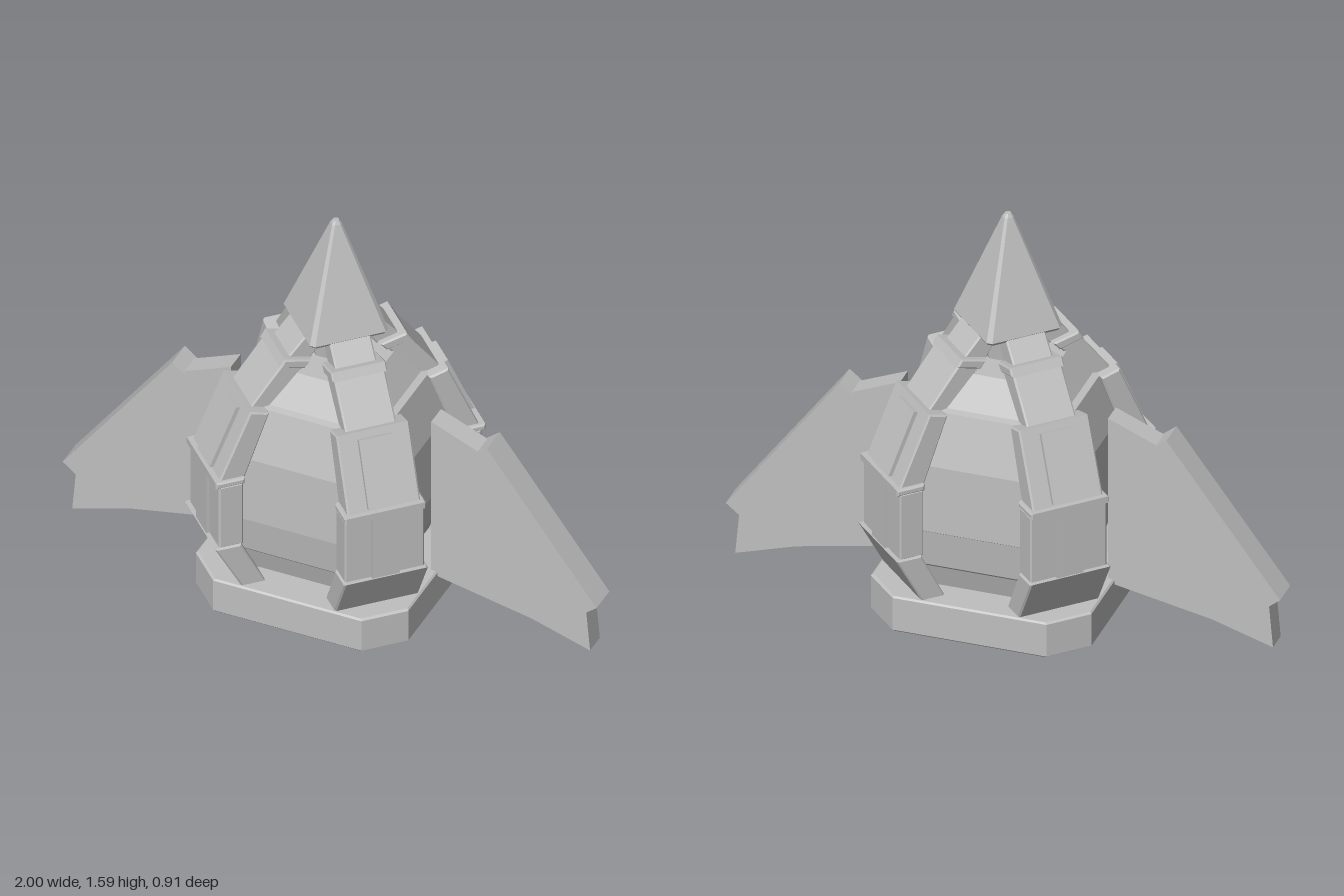
import * as THREE from 'three';

const hull = new THREE.MeshStandardMaterial({ color: 0xbfbfbf });
hull.name = 'hullGrey';

function mesh(geometry, name) {
  const m = new THREE.Mesh(geometry, hull);
  m.name = name;
  return m;
}

// Stack of chamfered squares: each ring is [y, half width, corner chamfer]
function chamferedLoft(rings) {
  const pos = [];
  const index = [];
  for (const [y, h, c] of rings) {
    const k = h - c;
    for (const [x, z] of [[k, h], [h, k], [h, -k], [k, -h], [-k, -h], [-h, -k], [-h, k], [-k, h]]) pos.push(x, y, z);
  }
  const last = (rings.length - 1) * 8;
  for (let r = 0; r < last; r += 8) {
    for (let i = 0; i < 8; i++) {
      const j = (i + 1) % 8;
      index.push(r + i, r + j, r + 8 + j, r + i, r + 8 + j, r + 8 + i);
    }
  }
  for (let i = 1; i < 7; i++) {
    index.push(0, i + 1, i);
    index.push(last, last + i, last + i + 1);
  }
  const g = new THREE.BufferGeometry();
  g.setAttribute('position', new THREE.Float32BufferAttribute(pos, 3));
  g.setIndex(index);
  const flat = g.toNonIndexed();
  flat.computeVertexNormals();
  return flat;
}

// Flat outline extruded to a full width, centred on z, with a small bevel
function plate(points, width, bevel = 0) {
  const shape = new THREE.Shape(points.map(([x, y]) => new THREE.Vector2(x, y)));
  const g = new THREE.ExtrudeGeometry(shape, {
    depth: width - 2 * bevel, bevelEnabled: bevel > 0,
    bevelSize: bevel, bevelThickness: bevel, bevelOffset: -bevel, bevelSegments: 1,
  });
  g.translate(0, 0, -width / 2 + bevel);
  return g;
}

// Base plate with bevelled rims
function step(y0, y1, h, c, b) {
  return chamferedLoft([[y0, h - b, c], [y0 + b, h, c], [y1 - b, h, c], [y1, h - b, c]]);
}

// One armoured rib: x is the distance from the axis
function makeRib() {
  const rib = new THREE.Group();
  const parts = [
    ['ribFoot', [[0.31, 0.235], [0.398, 0.235], [0.495, 0.415], [0.40, 0.415]], 0.305],
    ['ribMiddle', [[0.39, 0.41], [0.478, 0.41], [0.478, 0.67], [0.39, 0.67]], 0.29],
    ['ribBand', [[0.385, 0.665], [0.49, 0.665], [0.49, 0.69], [0.385, 0.69]], 0.295],
    ['ribShoulder', [[0.38, 0.68], [0.475, 0.68], [0.36, 0.95], [0.29, 0.93]], 0.265],
    ['ribNeck', [[0.30, 0.90], [0.375, 0.90], [0.22, 1.105], [0.15, 1.065]], 0.185],
    ['ribCollar', [[0.15, 1.06], [0.24, 1.085], [0.222, 1.115], [0.125, 1.09]], 0.2],
    ['ribTip', [[0.12, 1.08], [0.205, 1.10], [0.12, 1.20], [0.06, 1.17]], 0.15],
  ];
  for (const [name, pts, width] of parts) rib.add(mesh(plate(pts, width, 0.006), name));
  // Raised centre strips
  rib.add(mesh(plate([[0.46, 0.415], [0.49, 0.415], [0.49, 0.665], [0.46, 0.665]], 0.1), 'middleStrip'));
  rib.add(mesh(plate([[0.45, 0.70], [0.482, 0.70], [0.385, 0.93], [0.35, 0.92]], 0.12), 'shoulderStrip'));
  return rib;
}

function makeFin() {
  const fin = new THREE.Group();
  fin.add(mesh(plate([[0.375, 0.225], [0.75, 0.15], [0.97, 0.082], [0.955, 0.25],
    [0.55, 0.797], [0.375, 0.87]], 0.08), 'finPanel'));
  fin.add(mesh(plate([[0.54, 0.79], [0.95, 0.24], [1.0, 0.28], [0.59, 0.83]], 0.105), 'finLeadingEdge'));
  return fin;
}

export function createModel() {
  const model = new THREE.Group();
  model.name = 'rocket';

  // Stepped base
  model.add(mesh(step(0, 0.056, 0.195, 0.06, 0.008), 'lowerNozzle'));
  model.add(mesh(step(0.055, 0.106, 0.27, 0.08, 0.006), 'upperNozzle'));
  model.add(mesh(step(0.103, 0.24, 0.398, 0.12, 0.006), 'basePlate'));

  // Panelled body with a ledge at each joint
  model.add(mesh(chamferedLoft([
    [0.23, 0.265, 0.07], [0.325, 0.295, 0.08], [0.335, 0.305, 0.08], [0.475, 0.325, 0.085],
    [0.485, 0.34, 0.09], [0.74, 0.335, 0.09], [0.93, 0.285, 0.09], [0.935, 0.26, 0.09], [1.045, 0.19, 0.08],
  ]), 'body'));
  model.add(mesh(chamferedLoft([[1.03, 0.07, 0.03], [1.18, 0.09, 0.03]]), 'neck'));

  // Four-sided nose with its corners on the axes
  const nose = mesh(chamferedLoft([
    [1.166, 0.137, 0.015], [1.176, 0.143, 0.015], [1.575, 0.018, 0.008], [1.588, 0.01, 0.005],
  ]), 'noseCone');
  nose.rotation.y = Math.PI / 4;
  model.add(nose);

  // Ribs on the four diagonals
  for (let i = 0; i < 4; i++) {
    const rib = makeRib();
    rib.name = 'rib' + (i + 1);
    rib.rotation.y = Math.PI / 4 + i * Math.PI / 2;
    model.add(rib);
  }

  // Side fins
  for (const [name, turn] of [['leftFin', 0], ['rightFin', Math.PI]]) {
    const fin = makeFin();
    fin.name = name;
    fin.rotation.y = turn;
    model.add(fin);
  }
  return model;
}
